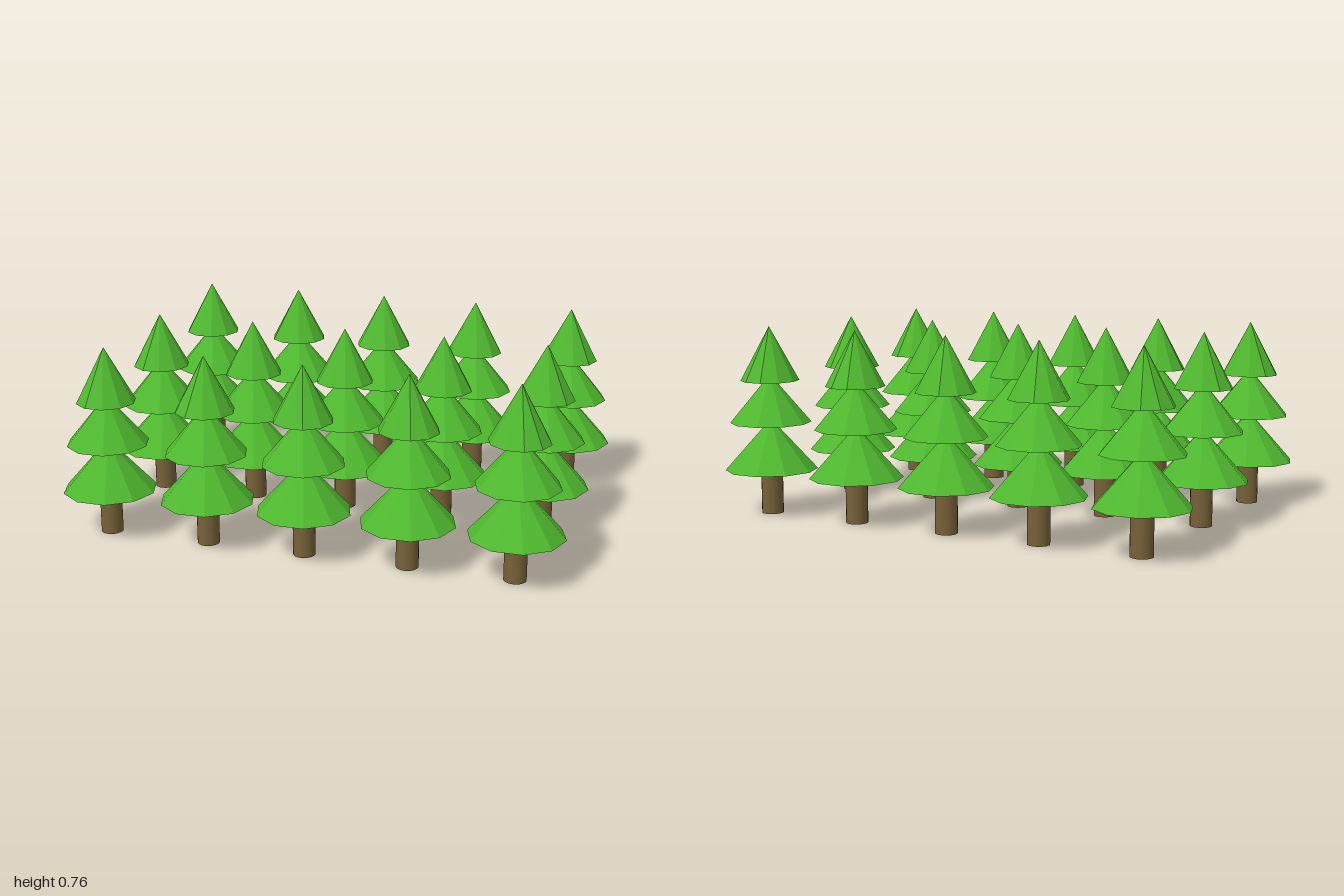
import * as THREE from 'three';

const leafGreen = new THREE.MeshStandardMaterial({ color: 0x4fb82f, flatShading: true });
leafGreen.name = 'leafGreen';
const barkBrown = new THREE.MeshStandardMaterial({ color: 0x766038 });
barkBrown.name = 'barkBrown';

// Foliage tiers: name, radius, base height, tip height
const TIERS = [
  ['lowerFoliage', 0.185, 0.178, 0.385],
  ['middleFoliage', 0.162, 0.37, 0.565],
  ['topFoliage', 0.117, 0.54, 0.758],
];
const TRUNK_HEIGHT = 0.17;

// Ten-sided cones with corners pointing along x
const tierGeometries = TIERS.map(([, radius, base, tip]) =>
  new THREE.ConeGeometry(radius, tip - base, 10, 1, false, Math.PI / 2)
    .translate(0, (base + tip) / 2, 0));

const trunkGeometry = new THREE.CylinderGeometry(0.0435, 0.0435, TRUNK_HEIGHT, 20)
  .translate(0, TRUNK_HEIGHT / 2, 0);

function makeTree() {
  const tree = new THREE.Group();
  tree.name = 'tree';
  const trunk = new THREE.Mesh(trunkGeometry, barkBrown);
  trunk.name = 'trunk';
  tree.add(trunk);
  TIERS.forEach(([name], i) => {
    const tier = new THREE.Mesh(tierGeometries[i], leafGreen);
    tier.name = name;
    tree.add(tier);
  });
  return tree;
}

export function createModel() {
  const grove = new THREE.Group();
  grove.name = 'grove';
  // Three rows of five trees
  for (const z of [-0.558, 0.023, 0.556]) {
    for (const x of [-0.815, -0.402, -0.007, 0.402, 0.814]) {
      const tree = makeTree();
      tree.position.set(x, 0, z);
      grove.add(tree);
    }
  }
  return grove;
}
